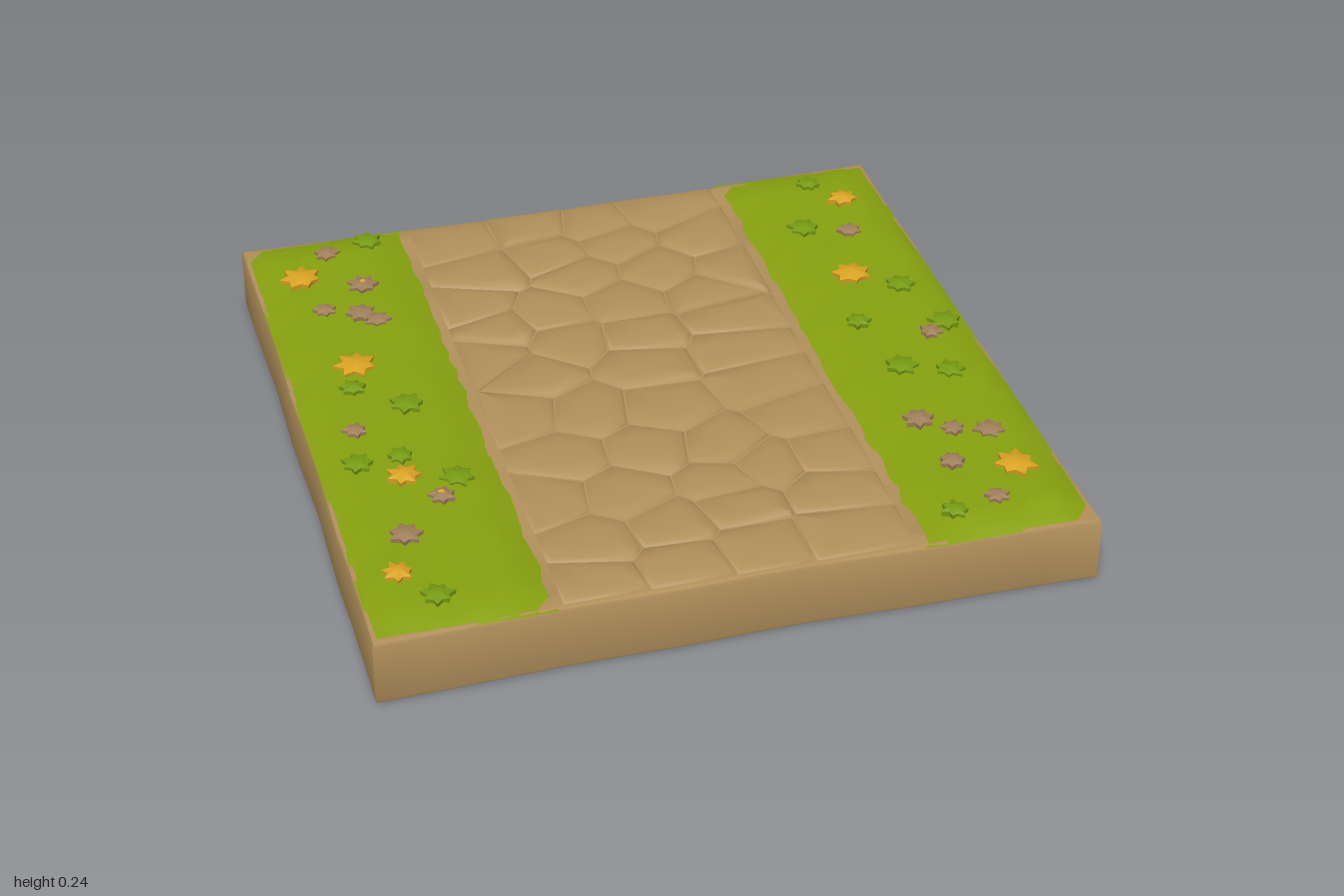
import * as THREE from 'three';
import { toCreasedNormals } from 'three/addons/utils/BufferGeometryUtils.js';

const mat = (name, color, side = THREE.FrontSide) => {
  const m = new THREE.MeshStandardMaterial({ color, side });
  m.name = name;
  return m;
};

// Seeded random numbers
let seed = 7;
const rand = () => {
  seed = (seed * 16807) % 2147483647;
  return seed / 2147483647;
};

// Joins rings of [x, y, z] points from the outside in, then closes them at a centre
function domeGeometry(rings, centre) {
  const n = rings[0].length, index = [];
  const pos = [...rings.flat(2), ...centre];
  rings.forEach((_, r) => {
    for (let i = 0; i < n; i++) {
      const j = (i + 1) % n, a = r * n + i, b = r * n + j;
      if (r === rings.length - 1) index.push(a, rings.length * n, b);
      else index.push(a, a + n, b, b, a + n, b + n);
    }
  });
  const g = new THREE.BufferGeometry();
  g.setAttribute('position', new THREE.Float32BufferAttribute(pos, 3));
  g.setIndex(index);
  g.computeVertexNormals();
  return g;
}

const squarePath = (cx, cy, h, T = THREE.Path) => new T([[-h, -h], [h, -h], [h, h], [-h, h]]
  .map(([x, y]) => new THREE.Vector2(cx + x, cy + y)));

// Stone cell: a rectangle cut halfway towards every other seed
function cell(seeds, k, x0, x1, z0, z1) {
  const [sx, sz] = seeds[k];
  let poly = [[x0, z0], [x1, z0], [x1, z1], [x0, z1]];
  seeds.forEach(([ox, oz], m) => {
    if (m === k) return;
    const side = ([x, z]) => (x - (sx + ox) / 2) * (ox - sx) + (z - (sz + oz) / 2) * (oz - sz);
    const out = [];
    poly.forEach((p, i) => {
      const q = poly[(i + 1) % poly.length], a = side(p), b = side(q);
      if (a <= 0) out.push(p);
      if ((a <= 0) !== (b <= 0)) {
        const t = a / (a - b);
        out.push([p[0] + (q[0] - p[0]) * t, p[1] + (q[1] - p[1]) * t]);
      }
    });
    poly = out;
  });
  return poly;
}

export function createModel() {
  seed = 7;
  const group = new THREE.Group();
  const earth = mat('earth', 0xb08f5a);
  const grass = mat('grass', 0x87a010, THREE.DoubleSide);
  const leaf = mat('leaf', 0x769a12);
  const yellow = mat('yellow petal', 0xd9a222);
  const brown = mat('brown petal', 0x9f7f5a);
  const add = (name, geometry, material, parent = group) => {
    const m = new THREE.Mesh(geometry, material);
    m.name = name;
    parent.add(m);
    return m;
  };

  // Earth slab with slightly bowed sides and a square socket near each corner
  const H = 0.988, N = 12, outline = [];
  for (let s = 0; s < 4; s++) {
    for (let i = 0; i < N; i++) {
      const t = i / N, bow = s % 2 ? 0.004 : 0.016;
      const d = H - bow * Math.sin(Math.PI * t) + 0.004 * Math.sin(t * 19) * Math.sin(Math.PI * t);
      const p = new THREE.Vector2(-H + 2 * H * t, -d);
      outline.push(p.rotateAround(new THREE.Vector2(), s * Math.PI / 2));
    }
  }
  const slab = new THREE.Shape(outline);
  const corners = [[1, 1], [1, -1], [-1, 1], [-1, -1]].map(([x, z]) => [x * 0.765, z * 0.765]);
  corners.forEach(([x, z]) => slab.holes.push(squarePath(x, z, 0.135)));
  const slabGeo = new THREE.ExtrudeGeometry(slab, {
    depth: 0.171, bevelThickness: 0.012, bevelSize: 0.012, bevelOffset: -0.012, bevelSegments: 2,
  });
  slabGeo.rotateX(-Math.PI / 2).translate(0, 0.012, 0);
  add('earthSlab', toCreasedNormals(slabGeo, 0.6), earth);

  // Stepped rim and green ceiling in each socket
  corners.forEach(([x, z]) => {
    const rim = squarePath(0, 0, 0.15, THREE.Shape);
    rim.holes.push(squarePath(0, 0, 0.105));
    const g = new THREE.ExtrudeGeometry(rim, { depth: 0.06, bevelEnabled: false });
    add('socketRim', g.rotateX(-Math.PI / 2), earth).position.set(x, 0.03, z);
    add('socketCeiling', new THREE.BoxGeometry(0.28, 0.008, 0.28), grass).position.set(x, 0.092, z);
  });

  // Cobbled path of domed stones
  const seeds = [
    [-.36, -.88], [-.11, -.89], [.08, -.85], [.29, -.88], [-.32, -.66], [-.09, -.71], [.11, -.73], [.37, -.70],
    [-.38, -.50], [-.04, -.58], [.20, -.55], [.41, -.50], [-.34, -.35], [-.17, -.40], [.05, -.40], [.30, -.38],
    [-.40, -.21], [-.16, -.24], [.05, -.21], [.32, -.24], [-.30, -.08], [.02, -.07], [.30, -.08],
    [-.38, .09], [-.20, .13], [.01, .17], [.32, .11], [-.32, .32], [-.08, .34], [.12, .38], [.37, .29],
    [-.41, .50], [-.20, .53], [.07, .55], [.21, .50], [.38, .50], [-.34, .72], [-.12, .70], [.08, .66], [.34, .66],
    [-.38, .89], [-.13, .87], [.08, .85], [.32, .85],
  ];
  const path = new THREE.Group();
  path.name = 'stonePath';
  group.add(path);
  seeds.forEach((s, k) => {
    const poly = cell(seeds, k, -0.485, 0.485, -0.965, 0.957);
    const cx = poly.reduce((a, p) => a + p[0], 0) / poly.length;
    const cz = poly.reduce((a, p) => a + p[1], 0) / poly.length;
    const lift = rand() * 0.005;
    const ring = (f, y, dz) => poly.map(([x, z]) => [cx + (x - cx) * f, y, cz + (z - cz) * f + dz]);
    const rings = [ring(1, 0.192, 0), ring(0.86, 0.203 + lift, 0.005), ring(0.5, 0.209 + lift, 0.005)];
    add('pathStone', domeGeometry(rings, [cx, 0.21 + lift, cz]), earth, path);
  });

  // Bumpy grass verges, falling to the slab along every edge
  const NX = 9, NZ = 30;
  for (const side of [-1, 1]) {
    const g = new THREE.PlaneGeometry(1, 1, NX, NZ).rotateX(-Math.PI / 2);
    const p = g.attributes.position;
    for (let i = 0; i < p.count; i++) {
      const u = p.getX(i) + 0.5, v = p.getZ(i) * 2;
      const inner = side > 0 ? u : 1 - u;
      const rim = inner > 0.999 || Math.abs(v) > 0.999;
      let x = 0.5 + 0.481 * inner, z = v * 0.977;
      let y = 0.198 + 0.016 * Math.min(1, inner / 0.24) + 0.01 * (rand() - 0.4);
      if (inner < 0.001) {
        y = 0.193;
        x += 0.016 * (rand() - 0.5);
      } else if (rim) y = 0.192;
      else {
        x += 0.026 * (rand() - 0.5);
        z += 0.03 * (rand() - 0.5);
      }
      p.setXYZ(i, side * x, y, z);
    }
    g.computeVertexNormals();
    add(side > 0 ? 'leftGrass' : 'rightGrass', g, grass);
  }

  // Small ragged rosette with upright edges
  const rosette = (name, x, z, r, material, h = 0.02) => {
    const n = 14, turn = rand() * 6;
    const edge = Array.from({ length: n }, (_, i) => r * (i % 2 ? 0.72 : 0.95 + 0.25 * rand()));
    const ring = (f, y) => edge.map((e, i) => {
      const a = turn + i / n * Math.PI * 2;
      return [Math.cos(a) * e * f, y, Math.sin(a) * e * f];
    });
    const g = domeGeometry([ring(0.9, -0.012), ring(1, h * 0.5), ring(0.5, h * 0.85)], [0, h, 0]);
    add(name, toCreasedNormals(g, 0.9), material).position.set(x, 0.216, z);
  };

  const flowers = [[-.85, -.74, .056], [-.785, -.24, .056], [-.765, .325, .044], [-.87, .745, .04],
    [.845, -.755, .044], [.73, -.33, .055], [.845, .715, .055]];
  flowers.forEach(([x, z, r]) => rosette('yellowFlower', x, z, r, yellow, 0.024));

  const brownFlowers = [[-.75, -.86], [-.68, -.66], [-.815, -.55], [-.675, -.46], [-.715, -.51], [-.85, .08],
    [-.685, .44], [-.815, .585], [.85, .03], [.805, -.57], [.665, .44], [.74, .51], [.685, .655], [.835, .54], [.745, .84]];
  brownFlowers.forEach(([x, z], i) => rosette('brownFlower', x, z, [0.036, 0.042, 0.032][i % 3], brown));
  [[-.68, -.66], [-.685, .44]].forEach(([x, z]) => rosette('flowerCentre', x, z, 0.014, yellow, 0.025));

  const leaves = [[-.62, -.90], [-.815, -.13], [-.685, -.015], [-.875, .235], [-.755, .23], [-.625, .365],
    [-.79, .86], [.77, -.87], [.675, -.62], [.85, -.24], [.665, -.08], [.71, .175], [.835, .23], [.615, .87], [.91, -.015]];
  leaves.forEach(([x, z], i) => rosette('leafClump', x, z, [0.042, 0.036, 0.046][i % 3], leaf));

  return group;
}
